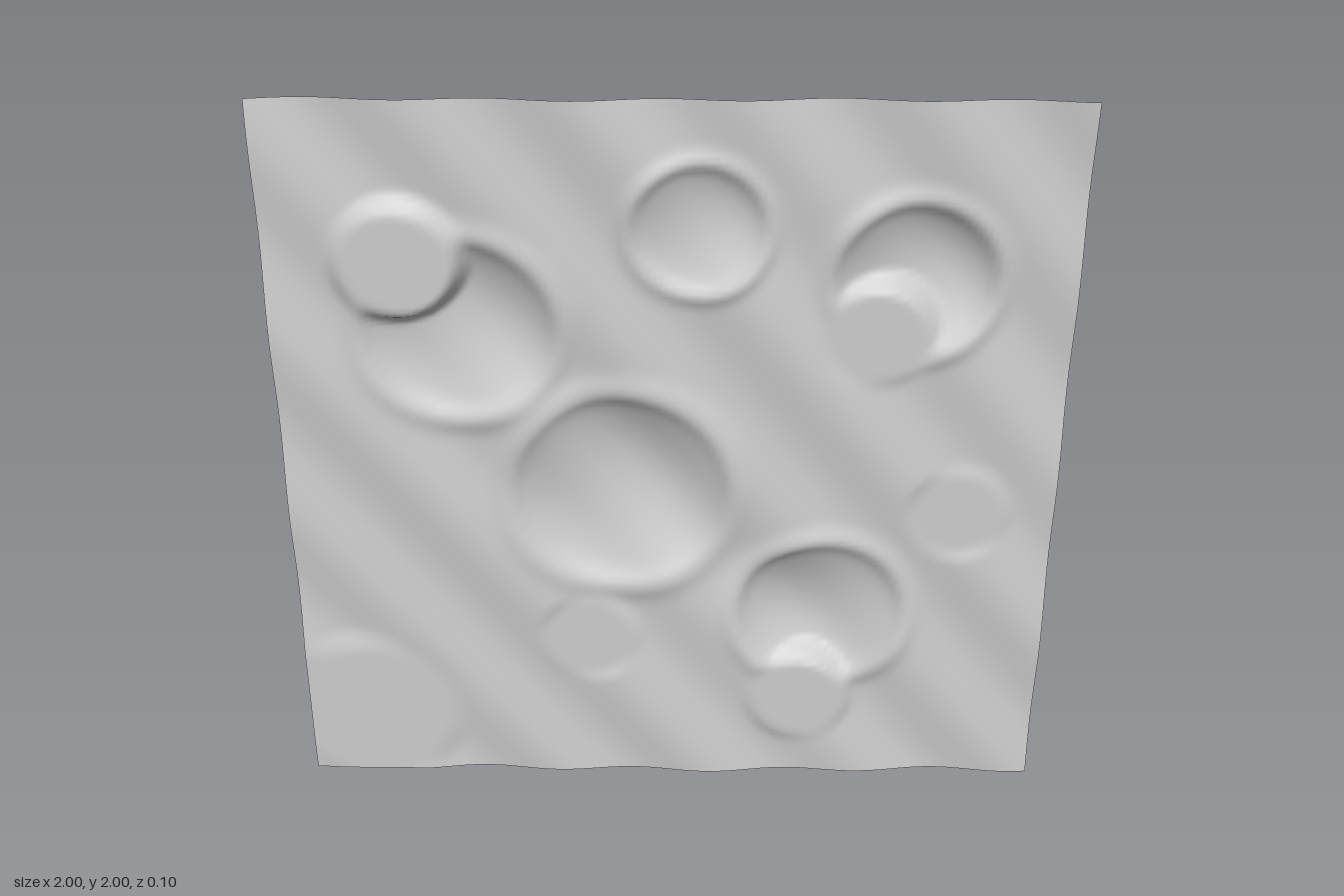
import * as THREE from 'three';

// Craters: x, y, radius, depth
const CRATERS = [
  [-0.13, 0.92, 0.28, 0.066],
  [-0.53, 1.39, 0.24, 0.055],
  [0.065, 1.665, 0.165, 0.042],
  [0.6, 1.53, 0.2, 0.062],
  [0.4, 0.54, 0.22, 0.063],
];

// Levelled discs: x, y, radius, height
const FLATS = [
  [-0.83, 0.2, 0.28, 0.02],
  [0.35, 0.26, 0.16, 0.028],
  [0.52, 1.38, 0.16, 0.02],
  [-0.67, 1.58, 0.18, 0.042],
  [0.75, 0.86, 0.15, 0.02],
  [-0.22, 0.46, 0.15, 0.022],
];

const { smoothstep } = THREE.MathUtils;

function heightAt(x, y) {
  // Diagonal ripples
  let z = 0.018 + 0.009 * Math.sin(15 * x + 12 * y) + 0.004 * Math.sin(5 * x + 4 * y + 1);

  // Bowls with a soft raised rim
  for (const [cx, cy, r, depth] of CRATERS) {
    const t = Math.hypot(x - cx, y - cy) / r;
    if (t < 1) z -= depth * (1 - t * t);
    z += 0.011 * Math.exp(-(((t - 1.08) / 0.13) ** 2));
  }

  // Discs pressed level, blending out at their border
  for (const [cx, cy, r, level] of FLATS) {
    const t = Math.hypot(x - cx, y - cy) / r;
    z = THREE.MathUtils.lerp(z, level, 1 - smoothstep(t, 0.72, 1.02));
  }
  return z;
}

export function createModel() {
  const group = new THREE.Group();
  group.name = 'crateredSheet';

  // Upright sheet displaced along z
  const geometry = new THREE.PlaneGeometry(2, 2, 128, 128);
  geometry.translate(0, 1, 0);
  const p = geometry.attributes.position;
  for (let i = 0; i < p.count; i++) p.setZ(i, heightAt(p.getX(i), p.getY(i)));
  geometry.computeVertexNormals();

  const material = new THREE.MeshStandardMaterial({ color: 0xcccccc, side: THREE.DoubleSide });
  const terrain = new THREE.Mesh(geometry, material);
  terrain.name = 'terrainSurface';
  group.add(terrain);
  return group;
}
